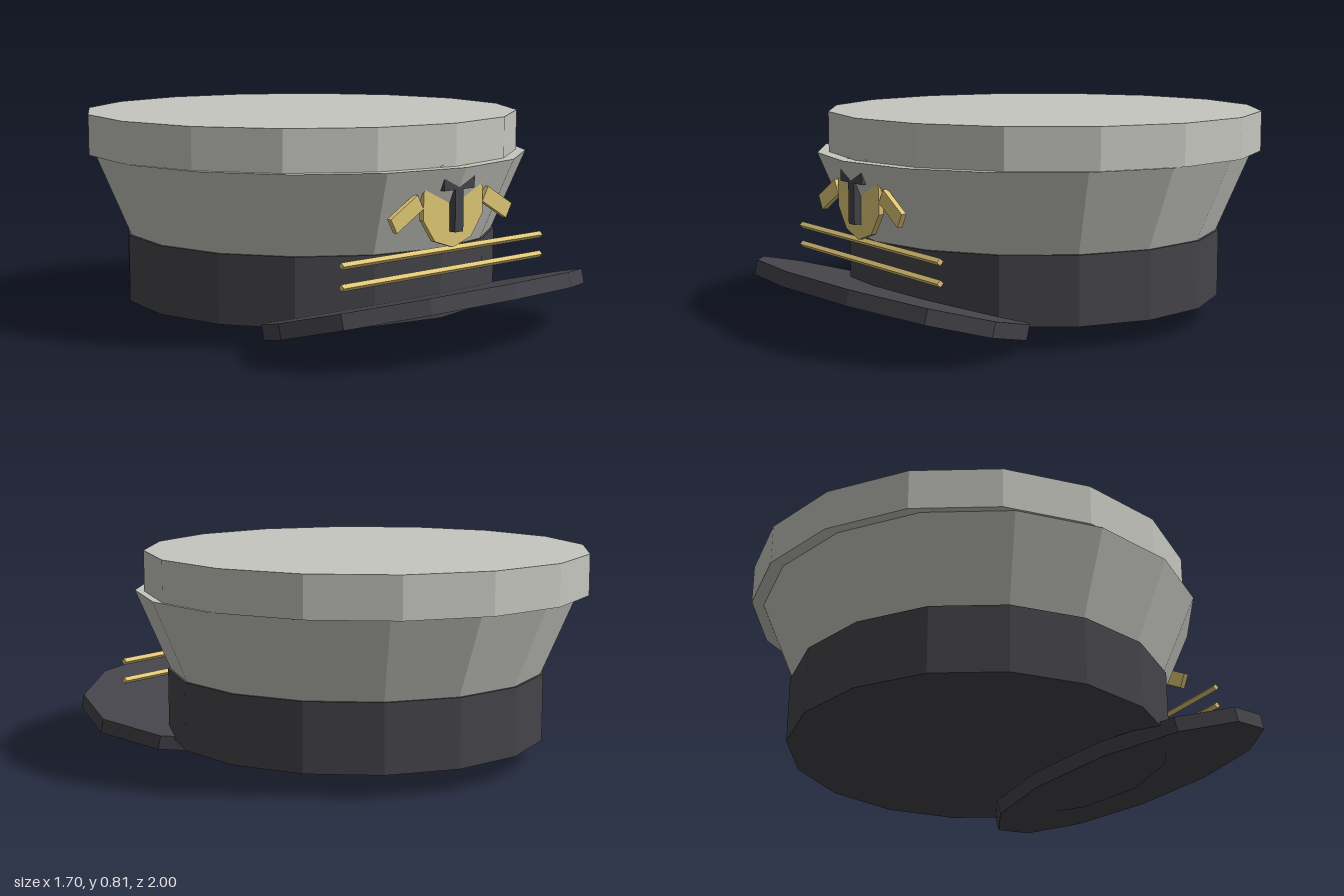
import * as THREE from 'three';

export function createModel() {
  const cap = new THREE.Group();
  cap.name = 'peakedCap';

  const material = (name, color) => {
    const m = new THREE.MeshStandardMaterial({ color, flatShading: true });
    m.name = name;
    return m;
  };
  const cloth = material('pale cloth', 0xc6c6c0);
  const dark = material('charcoal', 0x444349);
  const gold = material('gold', 0xe0c776);

  const add = (name, geometry, mat, x, y, z) => {
    const mesh = new THREE.Mesh(geometry, mat);
    mesh.name = name;
    mesh.position.set(x, y, z);
    cap.add(mesh);
    return mesh;
  };
  // Upright drum between two heights
  const drum = (name, mat, rTop, rBottom, y0, y1, z) =>
    add(name, new THREE.CylinderGeometry(rTop, rBottom, y1 - y0, 16), mat, 0, (y0 + y1) / 2, z);

  // Body: head band, flared side, and crown set slightly back
  drum('headBand', dark, 0.73, 0.73, 0.09, 0.348, -0.1);
  drum('flaredSide', cloth, 0.85, 0.72, 0.348, 0.655, -0.1);
  drum('crown', cloth, 0.85, 0.85, 0.655, 0.81, -0.15);

  // Peak: an oval disc sloping down towards the back, partly inside the band
  const peak = add('peak', new THREE.CylinderGeometry(0.72, 0.72, 0.057, 12), dark, 0, 0.137, 0.574);
  peak.scale.z = 0.6;
  peak.rotation.x = -0.25;

  // Two gold cords across the front
  for (const [name, y] of [['upperCord', 0.348], ['lowerCord', 0.272]]) {
    const cord = add(name, new THREE.CylinderGeometry(0.013, 0.013, 1.03, 4), gold, 0, y, 0.658);
    cord.rotation.z = Math.PI / 2;
  }

  // Badge: ten-sided disc with a wing on each side
  const disc = add('badgeDisc', new THREE.CylinderGeometry(0.16, 0.16, 0.02, 10), gold, 0, 0.52, 0.68);
  disc.rotation.x = Math.PI / 2;
  for (const side of [-1, 1]) {
    const wing = add(side > 0 ? 'leftWing' : 'rightWing',
      new THREE.BoxGeometry(0.15, 0.06, 0.02), gold, side * 0.232, 0.503, 0.68);
    wing.rotation.z = -side * 0.52;
  }

  // Dark emblem on the badge
  add('emblemStem', new THREE.BoxGeometry(0.042, 0.19, 0.03), dark, 0, 0.515, 0.704);
  add('emblemBar', new THREE.BoxGeometry(0.156, 0.045, 0.03), dark, 0, 0.596, 0.704);

  return cap;
}
